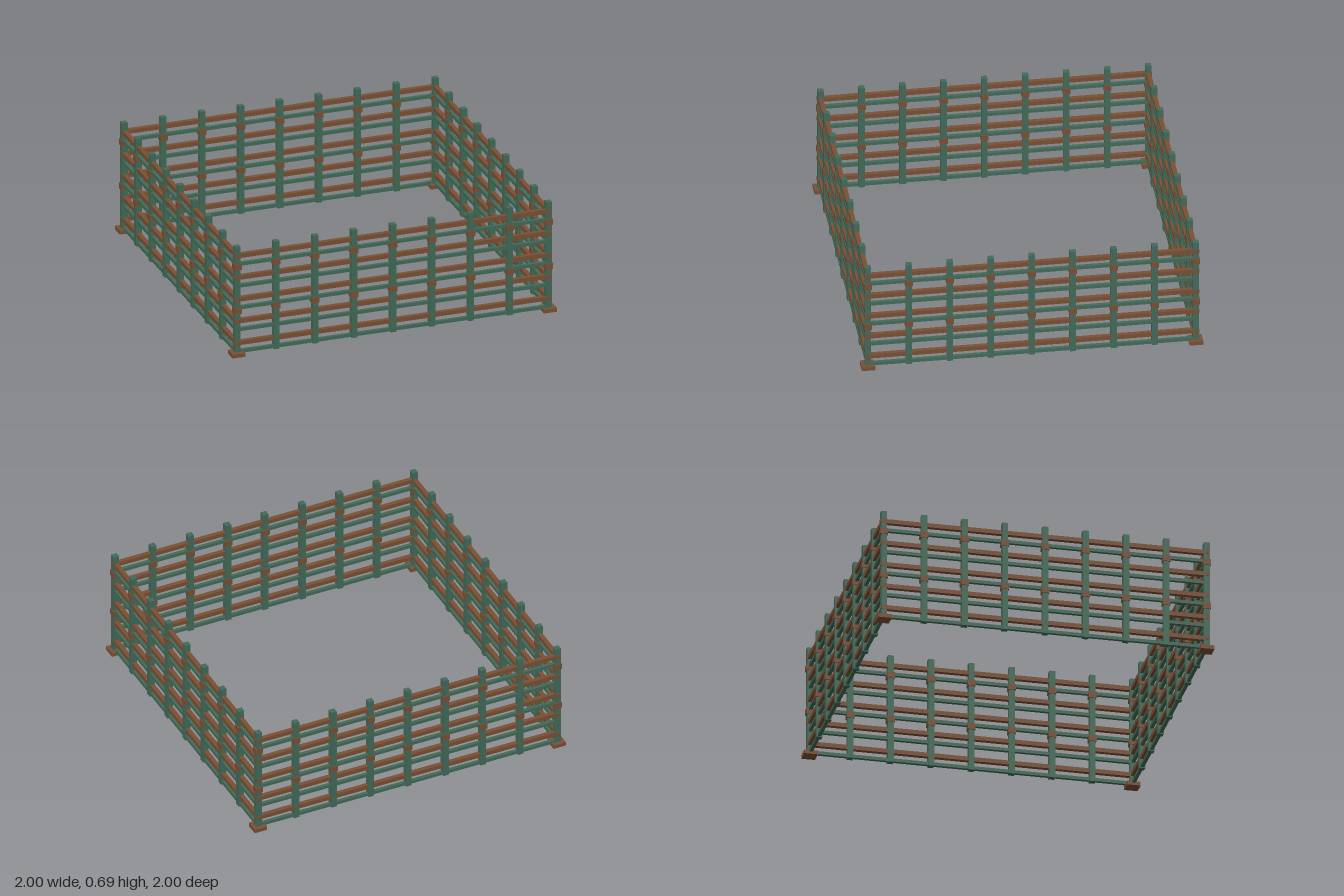
import * as THREE from 'three';

const wood = new THREE.MeshStandardMaterial({ color: 0x7a5034 });
wood.name = 'brown wood';
const paint = new THREE.MeshStandardMaterial({ color: 0x426b59 });
paint.name = 'green paint';

const HALF = 0.96;   // centre line of each fence side
const STEP = 0.24;   // post spacing
const PITCH = 0.1375; // rail spacing

function box(parent, name, material, w, h, d, x, y, z) {
  const mesh = new THREE.Mesh(new THREE.BoxGeometry(w, h, d), material);
  mesh.name = name;
  mesh.position.set(x, y, z);
  parent.add(mesh);
}

// One fence side along x; its first post stands on the shared corner
function fenceSide(name) {
  const side = new THREE.Group();
  side.name = name;

  // Posts with two binding collars each
  for (let i = 0; i < 8; i++) {
    const x = -HALF + i * STEP;
    box(side, 'post', paint, 0.035, 0.68, 0.035, x, 0.35, HALF);
    for (const y of [0.285, 0.563]) {
      box(side, 'collar', wood, 0.045, 0.037, 0.045, x, y, HALF);
    }
  }

  // Alternating brown and green rails
  for (let i = 0; i < 5; i++) {
    box(side, 'brownRail', wood, 1.96, 0.026, 0.026, 0, 0.079 + i * PITCH, HALF);
    box(side, 'greenRail', paint, 1.92, 0.02, 0.02, 0, 0.025 + i * PITCH, HALF);
  }

  // Corner foot plate
  box(side, 'footPlate', wood, 0.08, 0.024, 0.08, -HALF, 0.012, HALF);
  return side;
}

export function createModel() {
  const model = new THREE.Group();
  model.name = 'fencedEnclosure';
  ['frontFence', 'leftFence', 'backFence', 'rightFence'].forEach((name, i) => {
    const side = fenceSide(name);
    side.rotation.y = i * Math.PI / 2;
    model.add(side);
  });
  return model;
}
